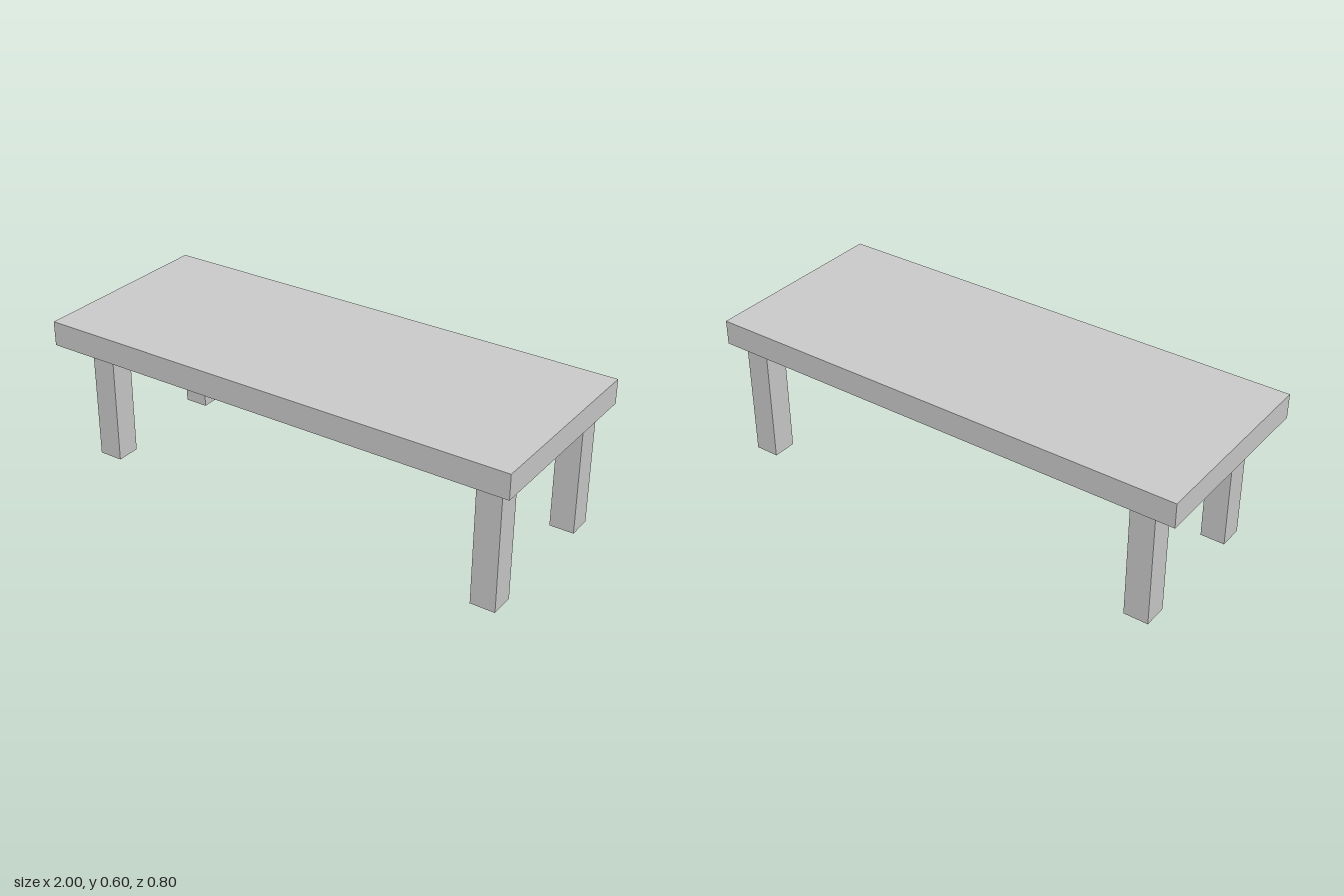
import * as THREE from 'three';

export function createModel() {
  const table = new THREE.Group();
  table.name = 'table';
  const material = new THREE.MeshStandardMaterial({ color: 0xcccccc, flatShading: true });

  const addBox = (name, [w, h, d], [x, y, z]) => {
    const mesh = new THREE.Mesh(new THREE.BoxGeometry(w, h, d), material);
    mesh.name = name;
    mesh.position.set(x, y, z);
    table.add(mesh);
  };

  // Slab top
  addBox('tableTop', [2, 0.1, 0.8], [0, 0.55, 0]);

  // Square legs, slightly uneven in placement: [name, x, z]
  const legs = [
    ['frontLeftLeg', 0.9, 0.3],
    ['frontRightLeg', -0.85, 0.25],
    ['backLeftLeg', 0.9, -0.3],
    ['backRightLeg', -0.85, -0.3],
  ];
  for (const [name, x, z] of legs) addBox(name, [0.1, 0.5, 0.1], [x, 0.25, z]);

  return table;
}
